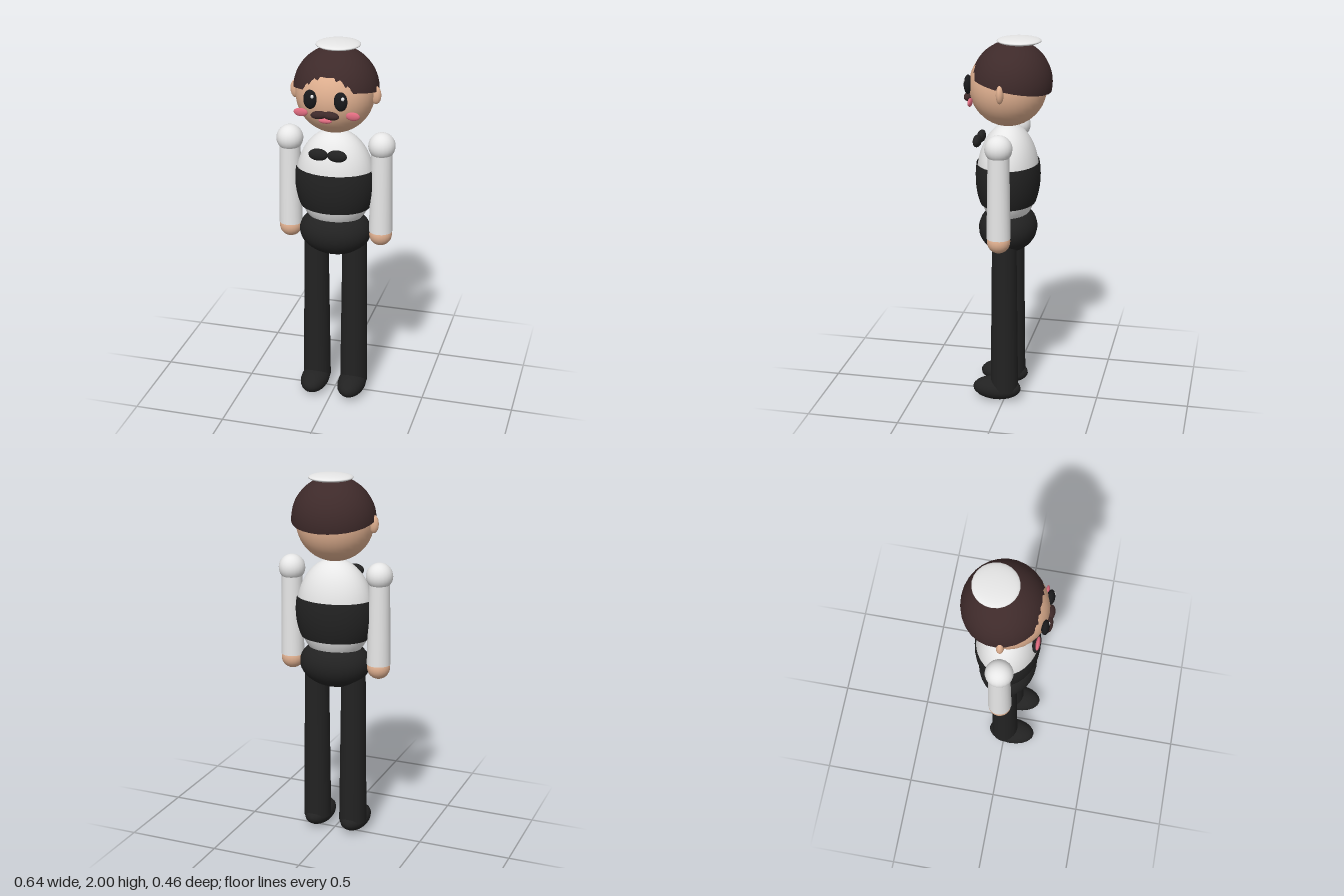
import * as THREE from 'three';

const mat = (name, color, side = THREE.FrontSide) => {
  const m = new THREE.MeshStandardMaterial({ color, side });
  m.name = name;
  return m;
};

export function createModel() {
  const white = mat('white cloth', 0xebebeb);
  const black = mat('black cloth', 0x222222, THREE.DoubleSide);
  const skin = mat('skin', 0xe0b090);
  const brown = mat('brown hair', 0x3e2a2a, THREE.DoubleSide);
  const pink = mat('pink', 0xe06c80);
  const eyeBlack = mat('eye black', 0x1a1a1c);

  const model = new THREE.Group();
  model.name = 'figure';

  const add = (name, geometry, material, [x, y, z]) => {
    const mesh = new THREE.Mesh(geometry, material);
    mesh.name = name;
    mesh.position.set(x, y, z);
    model.add(mesh);
    return mesh;
  };
  // Ellipsoid from centre and radii; t0 and t1 cut it into a band or cap
  const ball = (name, material, centre, [rx, ry, rz], seg = 20, t0 = 0, t1 = Math.PI) => {
    const g = new THREE.SphereGeometry(1, seg, Math.round(seg * 0.8), 0, Math.PI * 2, t0, t1 - t0);
    g.scale(rx, ry, rz);
    return add(name, g, material, centre);
  };
  const tube = (name, material, x, y0, y1, r0, r1) =>
    add(name, new THREE.CylinderGeometry(r1, r0, y1 - y0, 20), material, [x, (y0 + y1) / 2, 0]);

  // Torso with a vest band wrapped around it
  const waist = 1.265;
  ball('shirt', white, [0, waist, 0], [0.21, 0.28, 0.163], 32);
  const vestRy = 0.285;
  ball('vest', black, [0, waist, 0], [0.216, vestRy, 0.17], 32,
    Math.acos((1.34 - waist) / vestRy), Math.acos((1.12 - waist) / vestRy));
  ball('hips', black, [0, 0.975, 0], [0.194, 0.132, 0.155], 28);

  // Head, tilted hair cap and skullcap
  ball('head', skin, [0, 1.745, 0], [0.205, 0.21, 0.203], 32);
  const hair = ball('hair', brown, [0, 1.76, -0.018], [0.222, 0.221, 0.211], 28, 0, Math.PI / 2);
  hair.rotation.x = -0.19;
  ball('skullcap', white, [0, 1.981, -0.057], [0.116, 0.019, 0.115], 24);

  // Mouth
  ball('mouth', pink, [0, 1.653, 0.198], [0.035, 0.013, 0.011], 16);

  // Paired parts
  for (const s of [-1, 1]) {
    ball('ear', skin, [s * 0.213, 1.745, 0], [0.028, 0.048, 0.02], 12);
    ball('eye', eyeBlack, [s * 0.079, 1.76, 0.195], [0.035, 0.05, 0.021], 16);
    ball('eyeHighlight', white, [s * 0.079 + 0.013, 1.778, 0.206], [0.011, 0.012, 0.01], 10);
    ball('cheek', pink, [s * 0.136, 1.68, 0.171], [0.037, 0.022, 0.011], 16);
    ball('moustacheHalf', brown, [s * 0.031, 1.685, 0.205], [0.043, 0.021, 0.022], 16)
      .rotation.z = -s * 0.1;
    ball('bowTieWing', black, [s * 0.05, 1.453, 0.155], [0.052, 0.032, 0.022], 16);

    ball('shoulder', white, [s * 0.248, 1.473, 0], [0.071, 0.071, 0.072]);
    tube('sleeve', white, s * 0.248, 0.995, 1.46, 0.063, 0.055);
    ball('hand', skin, [s * 0.248, 0.975, 0], [0.061, 0.061, 0.061]);

    tube('leg', black, s * 0.106, 0.065, 0.95, 0.076, 0.065);
    ball('shoe', black, [s * 0.106, 0.063, 0.042], [0.077, 0.063, 0.133]);
  }
  return model;
}
